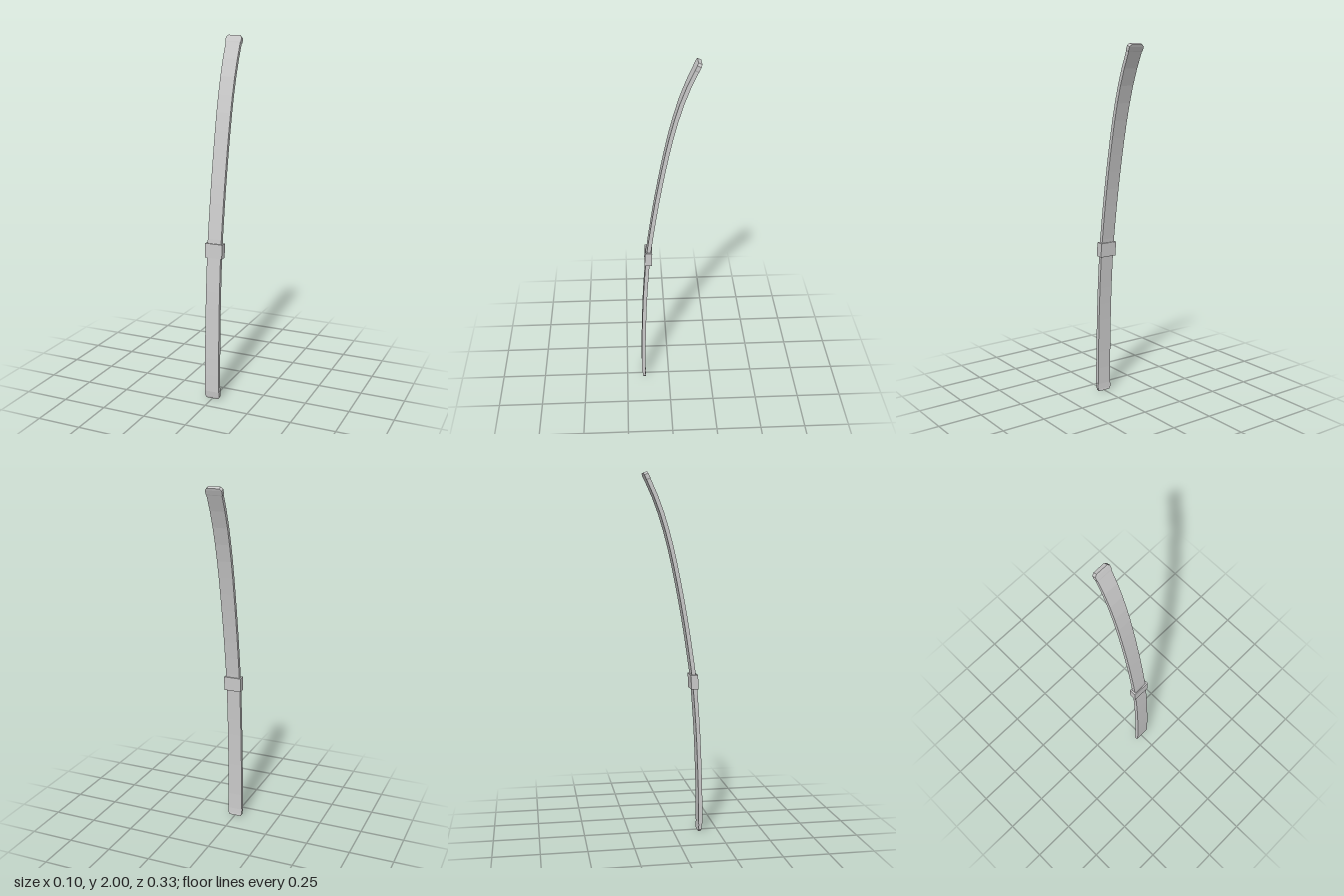
import * as THREE from 'three';

const material = new THREE.MeshStandardMaterial({ color: 0xcccccc, flatShading: true });

// Centre line of the bowed strip as [y, z], bottom to top
const line = new THREE.SplineCurve([
  [0.003, 0.145], [0.05, 0.151], [0.2, 0.15], [0.4, 0.144], [0.6, 0.135], [0.82, 0.119],
  [0.9, 0.111], [1.2, 0.066], [1.5, 0.009], [1.7, -0.04], [1.85, -0.09], [1.995, -0.155],
].map(([y, z]) => new THREE.Vector2(y, z)));

// Sweep a rectangle along the line; each station is [t, halfWidth, halfThickness]
function sweep(name, stations) {
  const pos = [], index = [];
  for (const [t, w, h] of stations) {
    const p = line.getPointAt(t), d = line.getTangentAt(t);
    for (const [sx, sn] of [[-1, 1], [1, 1], [1, -1], [-1, -1]]) {
      pos.push(sx * w, p.x - sn * h * d.y, p.y + sn * h * d.x);
    }
  }
  const n = stations.length;
  for (let i = 0; i < n - 1; i++) {
    for (let j = 0; j < 4; j++) {
      const a = i * 4 + j, b = i * 4 + (j + 1) % 4;
      index.push(a, b, b + 4, a, b + 4, a + 4);
    }
  }
  const e = (n - 1) * 4;
  index.push(0, 2, 1, 0, 3, 2, e, e + 1, e + 2, e, e + 2, e + 3);
  const g = new THREE.BufferGeometry();
  g.setAttribute('position', new THREE.Float32BufferAttribute(pos, 3));
  g.setIndex(index);
  const flat = g.toNonIndexed();
  flat.computeVertexNormals();
  const mesh = new THREE.Mesh(flat, material);
  mesh.name = name;
  return mesh;
}

export function createModel() {
  const group = new THREE.Group();
  group.name = 'curvedStrap';

  // Long strip, slightly wider towards both ends
  const strip = [];
  for (let i = 0; i <= 20; i++) {
    const t = 0.022 + 0.96 * i / 20;
    strip.push([t, 0.04 + 0.003 * Math.pow(Math.abs(2 * t - 1), 2), 0.011]);
  }
  group.add(sweep('strip', strip));

  // End tips with clipped corners
  group.add(sweep('bottomTip', [[0, 0.034, 0.007], [0.006, 0.043, 0.008], [0.024, 0.044, 0.009]]));
  group.add(sweep('topTip', [[0.979, 0.043, 0.011], [0.982, 0.046, 0.0115], [0.994, 0.046, 0.0115], [1, 0.034, 0.0105]]));

  // Rectangular sleeve around the middle
  const shape = new THREE.Shape([[-0.05, -0.02], [0.05, -0.02], [0.05, 0.02], [-0.05, 0.02]]
    .map(([x, y]) => new THREE.Vector2(x, y)));
  shape.holes.push(new THREE.Path([[-0.041, -0.013], [-0.041, 0.013], [0.041, 0.013], [0.041, -0.013]]
    .map(([x, y]) => new THREE.Vector2(x, y))));
  const geo = new THREE.ExtrudeGeometry(shape, { depth: 0.08, bevelEnabled: false });
  geo.translate(0, 0, -0.04);
  const sleeve = new THREE.Mesh(geo, material);
  sleeve.name = 'sleeve';
  sleeve.rotation.x = -Math.PI / 2 - 0.04;
  sleeve.position.set(0, 0.86, 0.114);
  group.add(sleeve);

  return group;
}
